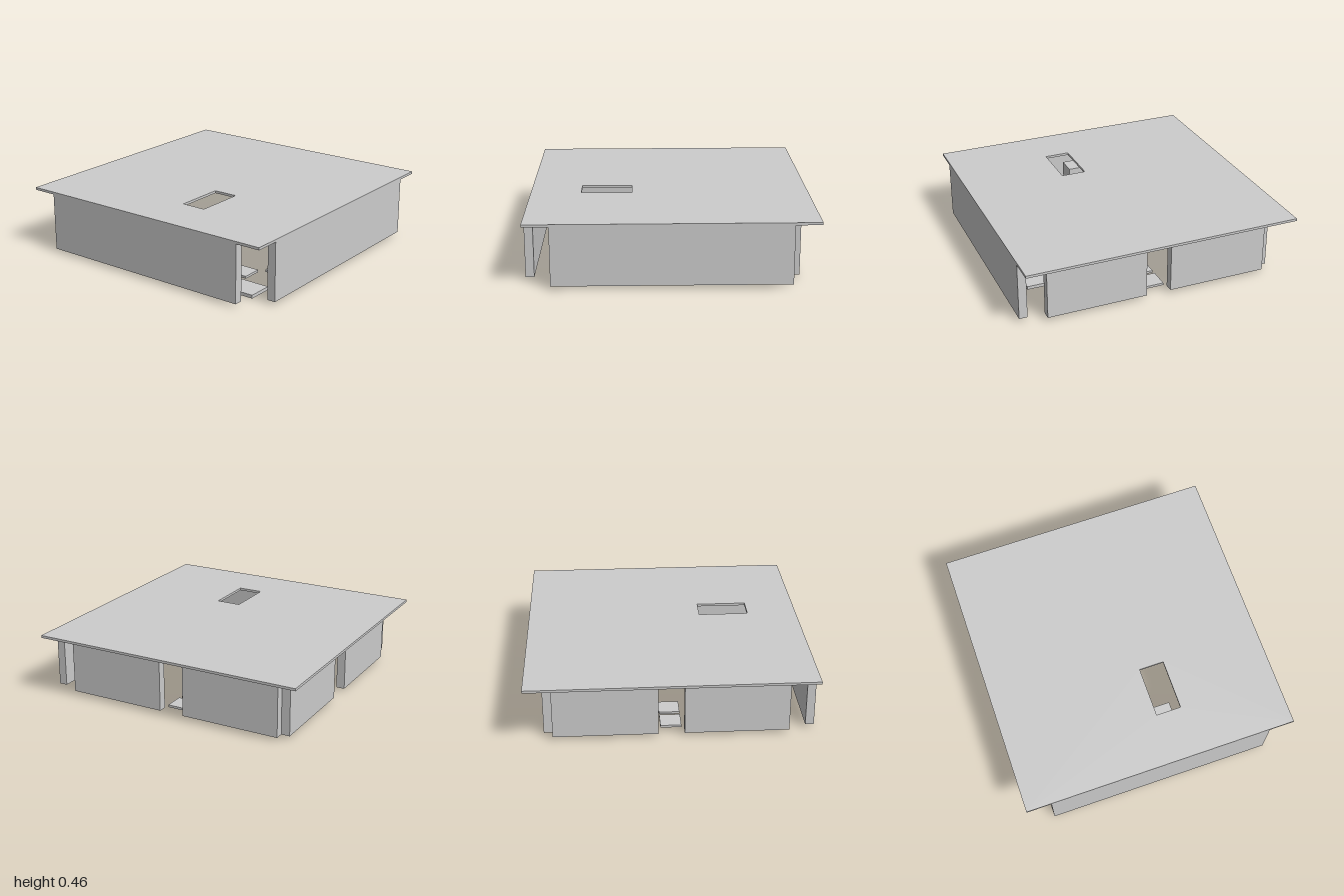
import * as THREE from 'three';

export function createModel() {
  const group = new THREE.Group();
  group.name = 'roomModel';
  const grey = new THREE.MeshStandardMaterial({ color: 0xcccccc });
  grey.name = 'light grey';

  const CELL = 0.1818; // layout grid, cell 0 is centred on the origin
  const FLOOR = 0.024, CEILING = 0.442, TOP = 0.46;

  // box given by its extents on each axis
  const slab = (name, [x0, x1], [y0, y1], [z0, z1]) => {
    const mesh = new THREE.Mesh(new THREE.BoxGeometry(x1 - x0, y1 - y0, z1 - z0), grey);
    mesh.position.set((x0 + x1) / 2, (y0 + y1) / 2, (z0 + z1) / 2);
    mesh.name = name;
    group.add(mesh);
  };
  const cells = (a, b = a) => [(a - 0.5) * CELL, (b + 0.5) * CELL];
  const around = (cell, half) => [cell * CELL - half, cell * CELL + half];

  // roof plate with a rectangular opening two cells long
  const roofShape = new THREE.Shape([[-1, -1], [1, -1], [1, 1], [-1, 1]].map(p => new THREE.Vector2(...p)));
  const [hx0, hx1] = cells(-3, -2);
  const [hz0, hz1] = cells(1);
  roofShape.holes.push(new THREE.Path(
    [[hx0, -hz0], [hx1, -hz0], [hx1, -hz1], [hx0, -hz1]].map(p => new THREE.Vector2(...p))));
  const roofGeometry = new THREE.ExtrudeGeometry(roofShape, { depth: TOP - CEILING, bevelEnabled: false });
  roofGeometry.rotateX(-Math.PI / 2);
  const roof = new THREE.Mesh(roofGeometry, grey);
  roof.position.y = CEILING;
  roof.name = 'roof';
  group.add(roof);

  // walls: front and left are whole, right and back have a doorway
  const wallY = [FLOOR, CEILING];
  const end = 4.5 * CELL, door = CELL / 2;
  const near = [0.818, 0.88], far = [0.94, 1];
  const flip = ([a, b]) => [-b, -a];
  slab('frontWall', [-end, end], wallY, far);
  slab('leftWall', flip(far), wallY, [-end, end]);
  for (const span of [[door, end], [-end, -door]]) {
    slab('rightWall', near, wallY, span);
    slab('backWall', span, wallY, flip(near));
  }

  // low floor panels: x cells, z cells
  const panels = [
    [[1, 2], [4, 4]],
    [[-4, -4], [3, 4]],
    [[-4, -4], [-2, 0]],
    [[-3, -3], [1, 1]],
  ];
  for (const [x, z] of panels) slab('floorPanel', cells(...x), [0, FLOOR], cells(...z));

  // small square tiles
  for (const [x, z] of [[-1, 4], [-2, 4], [-3, 3], [4, 0], [3, 0], [0, -4], [0, -3]]) {
    slab('tile', around(x, 0.073), [FLOOR, 0.041], around(z, 0.073));
  }

  // floating cubes above two of the panels
  for (const [x, z] of [[1, 4], [-4, 0]]) {
    slab('cube', around(x, 0.073), [0.157, 0.304], around(z, 0.073));
  }
  return group;
}
